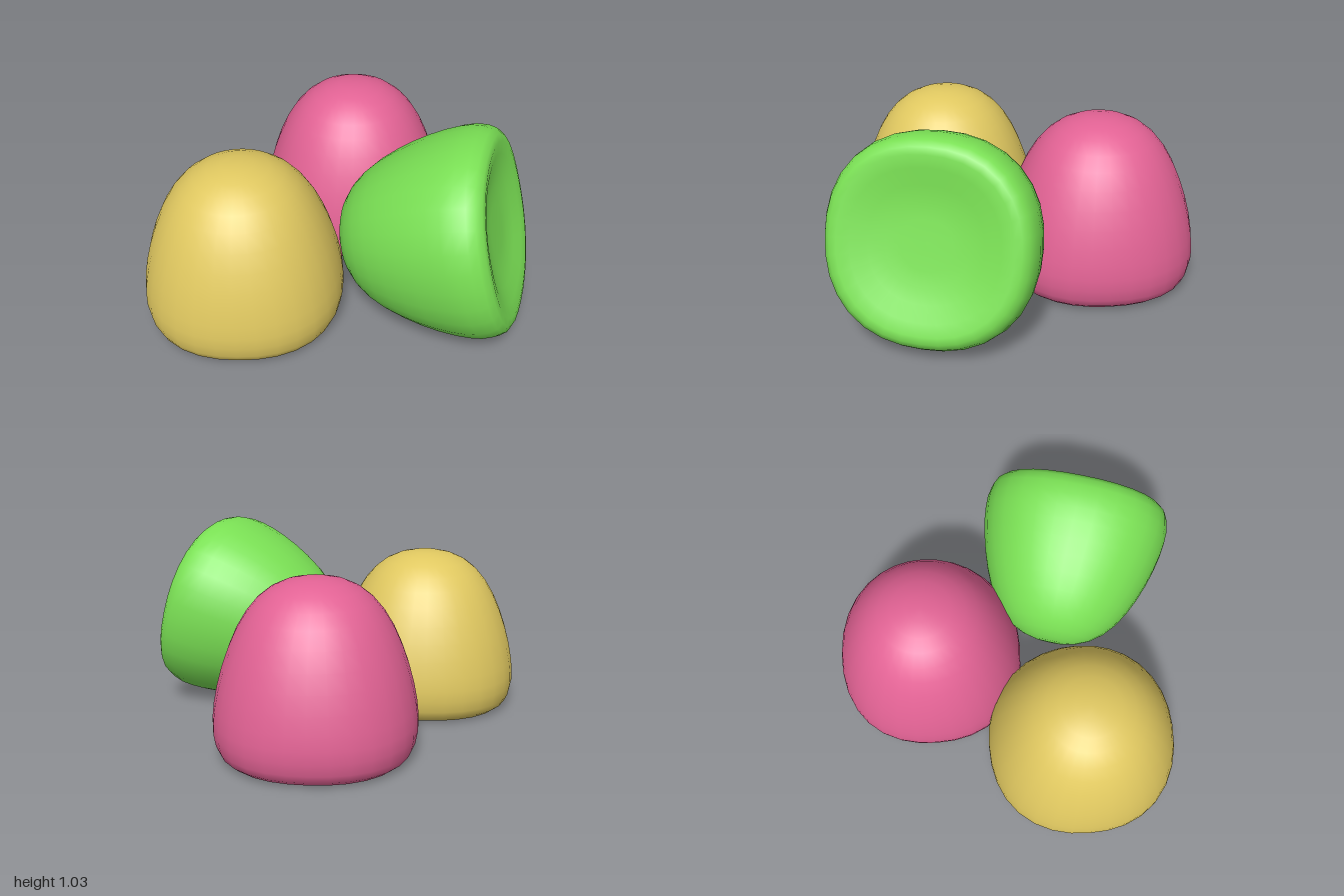
import * as THREE from 'three';
import { mergeVertices } from 'three/addons/utils/BufferGeometryUtils.js';

// Half profile [radius, height]: hollow underside, rounded rim, tapering wall, dome
const PROFILE = [
  [0, 0.055], [0.12, 0.055], [0.2, 0.05], [0.28, 0.035], [0.36, 0.012], [0.42, 0], [0.455, 0.005],
  [0.485, 0.03], [0.503, 0.07], [0.514, 0.13], [0.513, 0.19], [0.505, 0.26], [0.487, 0.35],
  [0.462, 0.44], [0.43, 0.53], [0.39, 0.62], [0.342, 0.7], [0.288, 0.765], [0.225, 0.815],
  [0.155, 0.848], [0.08, 0.866], [0, 0.87],
];

// Soft cone whose cross-section goes from a rounded square at the base to a circle on top
function gumdropGeometry() {
  const points = PROFILE.map(([r, y]) => new THREE.Vector2(r, y));
  const geometry = new THREE.LatheGeometry(points, 32);
  const p = geometry.attributes.position;
  for (let i = 0; i < p.count; i++) {
    const x = p.getX(i), y = p.getY(i), z = p.getZ(i);
    const r = Math.hypot(x, z);
    if (r < 1e-6) continue;
    const n = 2.28 - 0.25 * Math.min(1, y / 0.8);
    const k = 1 / Math.pow(Math.pow(Math.abs(x / r), n) + Math.pow(Math.abs(z / r), n), 1 / n);
    p.setXYZ(i, x * k, y, z * k);
  }
  geometry.deleteAttribute('uv');
  geometry.deleteAttribute('normal');
  const welded = mergeVertices(geometry, 1e-4);
  welded.computeVertexNormals();
  return welded;
}

// Places a gumdrop so that the middle of its bounds lies at the given centre
function gumdrop(name, color, centre, height, orientation) {
  const geometry = gumdropGeometry();
  geometry.scale(1, height, 1);
  if (orientation) geometry.applyMatrix4(orientation);
  geometry.center();
  const mesh = new THREE.Mesh(geometry, new THREE.MeshStandardMaterial({ color }));
  mesh.name = name;
  mesh.position.set(...centre);
  return mesh;
}

export function createModel() {
  const group = new THREE.Group();
  group.name = 'gumdrops';

  // Two standing gumdrops
  group.add(gumdrop('yellowGumdrop', 0xe0c860, [-0.485, 0.435, 0.377], 0.99));
  group.add(gumdrop('pinkGumdrop', 0xe26294, [0.08, 0.445, -0.432], 1.01));

  // One lying on its side, hollow base turned outward and a little upward
  const base = new THREE.Vector3(0.92, 0.27, 0.285).normalize();
  const yAxis = base.clone().negate();
  const zAxis = new THREE.Vector3(0, 1, 0).addScaledVector(base, -base.y).normalize();
  const xAxis = new THREE.Vector3().crossVectors(yAxis, zAxis);
  const tilt = new THREE.Matrix4().makeBasis(xAxis, yAxis, zAxis);
  group.add(gumdrop('greenGumdrop', 0x7ae054, [0.51, 0.517, 0.433], 0.98, tilt));

  return group;
}
